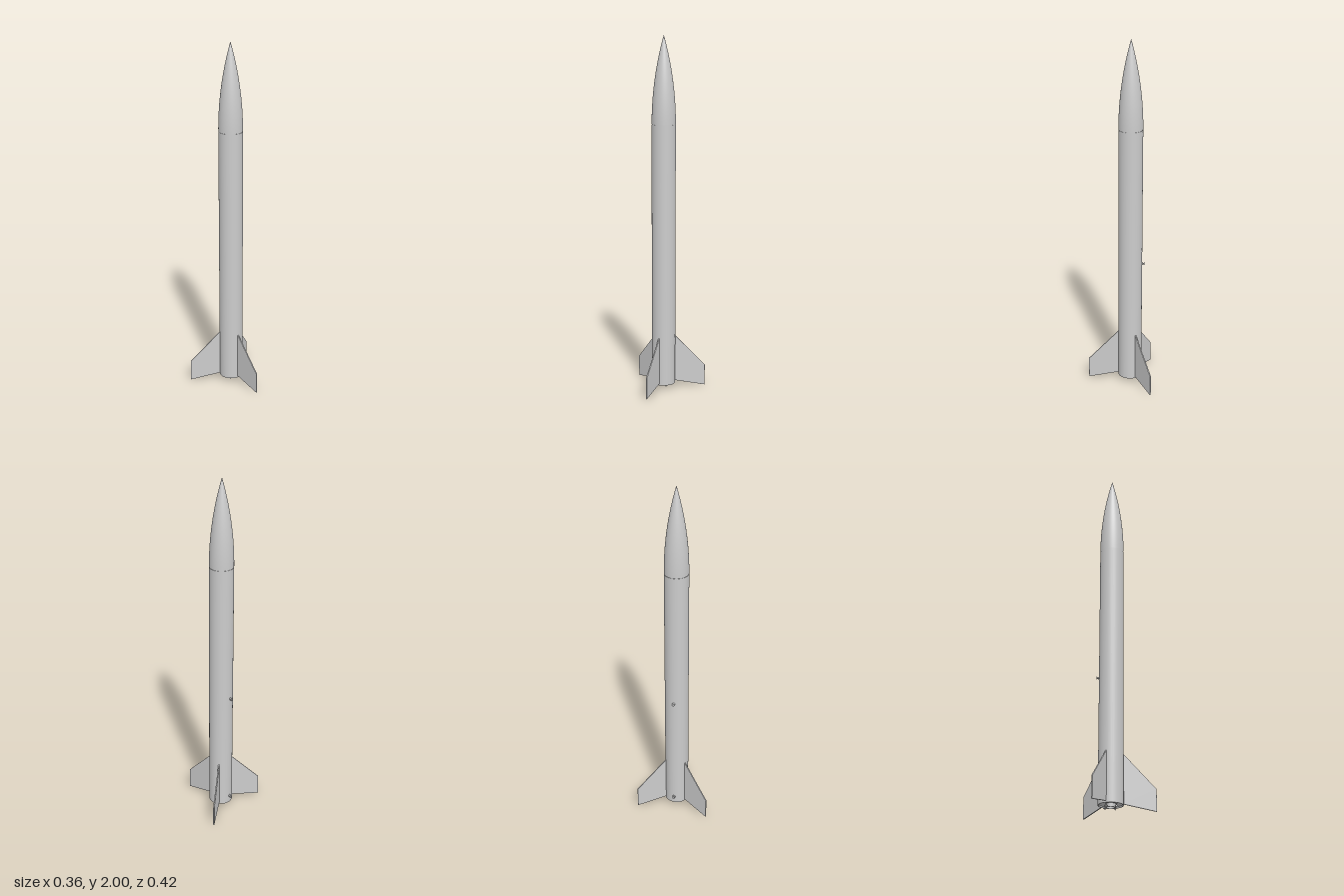
import * as THREE from 'three';

const R = 0.067, BASE = 0.028, SHOULDER = 1.515, TIP = 2;

export function createModel() {
  const root = new THREE.Group();
  root.name = 'rocket';
  const rocket = new THREE.Group();
  rocket.name = 'rocketAssembly';
  rocket.position.x = -0.061; // the three fins put the axis off centre
  root.add(rocket);

  const material = new THREE.MeshStandardMaterial({ color: 0xcccccc });
  const add = (name, geometry, parent = rocket) => {
    const mesh = new THREE.Mesh(geometry, material);
    mesh.name = name;
    parent.add(mesh);
    return mesh;
  };
  // Straight wall with flat ends, from listed corners: each edge is its own band
  const ring = (name, inner, outer, y0, y1) => {
    const corners = [[inner, y0], [outer, y0], [outer, y1], [inner, y1], [inner, y0]];
    const group = new THREE.Group();
    group.name = name;
    rocket.add(group);
    for (let i = 0; i < 4; i++) {
      const pts = [corners[i], corners[i + 1]].map(p => new THREE.Vector2(...p));
      add(name + 'Face', new THREE.LatheGeometry(pts, 64), group);
    }
  };

  // Body tube
  ring('bodyTube', R - 0.004, R, BASE, SHOULDER - 0.003);

  // Joint groove under the nose
  add('noseJoint', new THREE.CylinderGeometry(R - 0.002, R - 0.002, 0.02, 64)).position.y = SHOULDER - 0.002;

  // Tangent ogive nose cone
  const length = TIP - SHOULDER;
  const rho = (R * R + length * length) / (2 * R);
  const profile = [];
  for (let i = 0; i <= 32; i++) {
    const h = length * i / 32;
    profile.push(new THREE.Vector2(Math.max(0, Math.sqrt(rho * rho - h * h) + R - rho), SHOULDER + h));
  }
  add('noseCone', new THREE.LatheGeometry(profile, 64));

  // Three swept fins, spaced evenly
  const fin = new THREE.Shape([
    [R - 0.005, 0.037], [0.24, 0.003], [0.24, 0.123], [R, 0.305], [R - 0.005, 0.305],
  ].map(p => new THREE.Vector2(...p)));
  const finGeometry = new THREE.ExtrudeGeometry(fin, {
    depth: 0.004, bevelEnabled: true, bevelThickness: 0.0015, bevelSize: 0.0015, bevelOffset: -0.0015, bevelSegments: 2,
  });
  finGeometry.translate(0, 0, -0.002);
  for (let i = 0; i < 3; i++) add('fin', finGeometry).rotation.y = i * Math.PI * 2 / 3;

  // Spool-shaped rail buttons, pointing away from the first fin
  const spool = [[0, 0], [0.008, 0], [0.008, 0.003], [0.004, 0.005], [0.004, 0.010], [0.008, 0.012], [0.008, 0.015], [0, 0.015]];
  const spoolGeometry = new THREE.LatheGeometry(spool.map(p => new THREE.Vector2(...p)), 24);
  for (const y of [0.73, 0.07]) {
    const button = add('railButton', spoolGeometry);
    button.rotation.z = Math.PI / 2;
    button.position.set(-R + 0.001, y, 0);
  }

  // Recessed rear ring and motor tube
  ring('centeringRing', 0.024, R - 0.004, 0.036, 0.046);
  ring('motorTube', 0.021, 0.026, 0.016, 0.3);
  add('motorClosure', new THREE.CylinderGeometry(0.021, 0.021, 0.01, 48)).position.y = 0.08;

  // Motor retainer screws with heads
  for (let i = 0; i < 4; i++) {
    const a = Math.PI / 4 + i * Math.PI / 2, x = 0.038 * Math.cos(a), z = 0.038 * Math.sin(a);
    add('retainerScrew', new THREE.CylinderGeometry(0.003, 0.003, 0.028, 16)).position.set(x, 0.026, z);
    add('retainerClip', new THREE.CylinderGeometry(0.007, 0.007, 0.004, 24)).position.set(x, 0.02, z);
  }
  return root;
}
